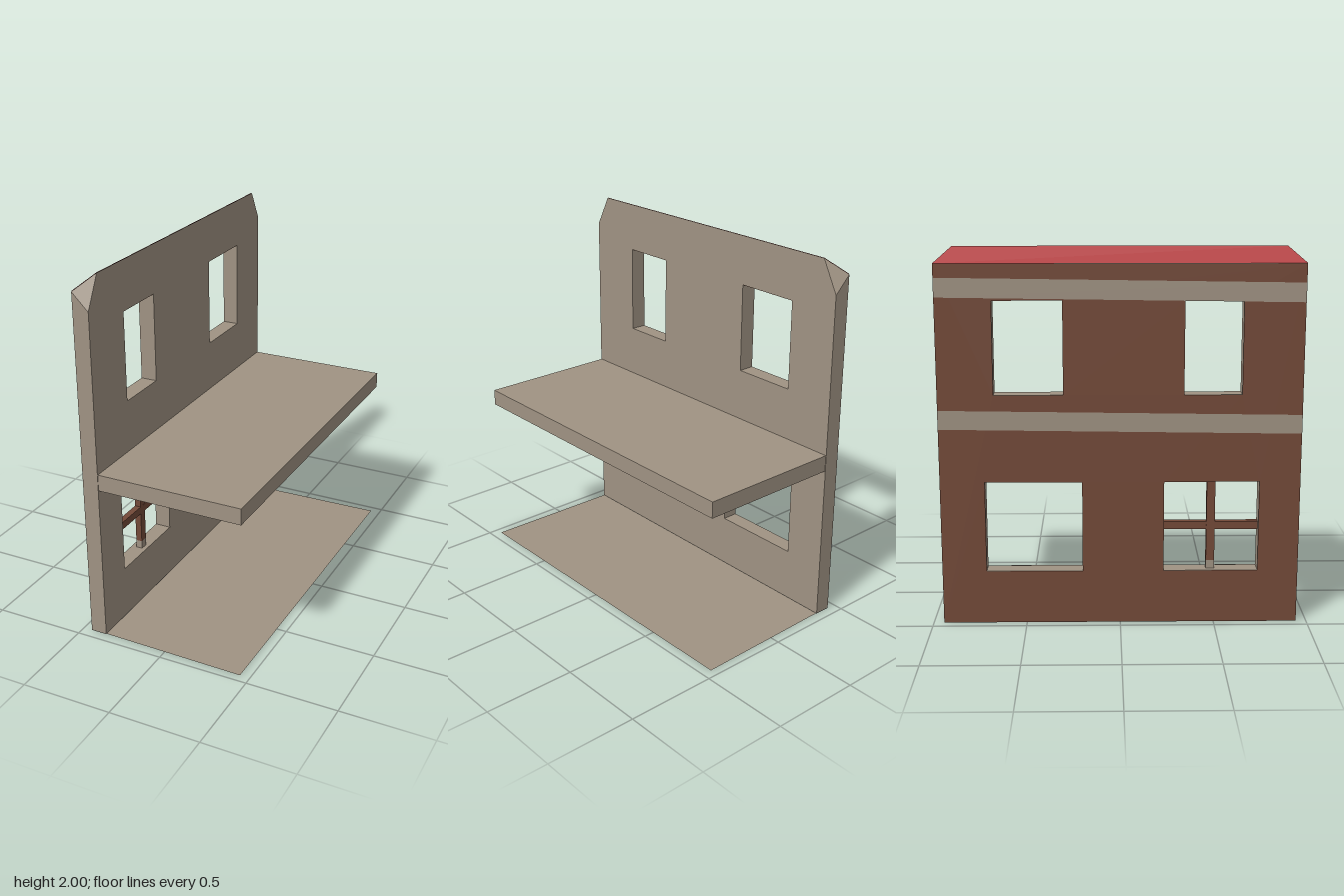
import * as THREE from 'three';

const INNER = -0.36, OUTER = -0.45, HALF = 0.945;

// Window openings: z from, z to, y from, y to
const UPPER = [[0.33, 0.63, 1.245, 1.735], [-0.655, -0.295, 1.245, 1.735]];
const LOWER = [[0.23, 0.73, 0.29, 0.78], [-0.71, -0.2, 0.29, 0.78]];

function mat(name, color, side = THREE.FrontSide) {
  const m = new THREE.MeshStandardMaterial({ color, side });
  m.name = name;
  return m;
}

// Shapes are drawn in (z, y)
function outline(points, windows = []) {
  const s = new THREE.Shape(points.map(p => new THREE.Vector2(...p)));
  for (const [a, b, c, d] of windows) {
    s.holes.push(new THREE.Path([[a, c], [a, d], [b, d], [b, c]].map(p => new THREE.Vector2(...p))));
  }
  return s;
}

export function createModel() {
  const group = new THREE.Group();
  const tan = mat('tan plaster', 0xa09383);
  const floorTan = mat('tan floor', 0xa09383, THREE.DoubleSide);
  const brown = mat('brown', 0x744a39);
  const red = mat('roof red', 0xb03437, THREE.DoubleSide);
  const dark = mat('dark base', 0x3c4446);

  const add = (name, geometry, material) => {
    const m = new THREE.Mesh(geometry, material);
    m.name = name;
    group.add(m);
    return m;
  };
  // Box given by its minimum and maximum corners
  const box = (name, x0, x1, y0, y1, z0, z1, material) =>
    add(name, new THREE.BoxGeometry(x1 - x0, y1 - y0, z1 - z0), material)
      .position.set((x0 + x1) / 2, (y0 + y1) / 2, (z0 + z1) / 2);

  // Wall, with a top that slopes to the outside and clipped corners
  const openings = [...UPPER, ...LOWER];
  const wall = new THREE.ExtrudeGeometry(
    outline([[-HALF, 0.002], [HALF, 0.002], [HALF, 1.83], [0.855, 2], [-0.855, 2], [-HALF, 1.83]], openings),
    { depth: INNER - OUTER, bevelEnabled: false });
  const p = wall.attributes.position;
  for (let i = 0; i < p.count; i++) {
    if (p.getZ(i) > 0.01 && p.getY(i) > 1.8) {
      p.setX(i, Math.sign(p.getX(i)) * HALF);
      p.setY(i, 1.92);
    }
  }
  wall.computeVertexNormals();
  wall.rotateY(-Math.PI / 2).translate(INNER, 0, 0);
  add('wall', wall, tan);
  box('wallBase', OUTER, INNER, 0, 0.002, -HALF, HALF, dark);

  // Painted outer face and its two bands
  const panel = (name, shape, offset, material) =>
    add(name, new THREE.ShapeGeometry(shape).rotateY(-Math.PI / 2).translate(OUTER - offset, 0, 0), material);
  panel('facade', outline([[-HALF, 0.002], [HALF, 0.002], [HALF, 1.92], [-HALF, 1.92]], openings), 0.002, brown);
  for (const [name, y] of [['lowerBand', 1.05], ['upperBand', 1.735]]) {
    panel(name, outline([[-HALF, y + 0.015], [HALF, y - 0.012], [HALF, y + 0.088], [-HALF, y + 0.115]]), 0.004, tan);
  }

  // Red sloping cap along the top of the wall
  const cap = new THREE.BufferGeometry();
  cap.setAttribute('position', new THREE.Float32BufferAttribute([
    OUTER, 1.92, -HALF, OUTER, 1.92, HALF, INNER, 2, 0.855, INNER, 2, -0.855], 3));
  cap.setIndex([0, 1, 2, 0, 2, 3]);
  cap.translate(-0.0015, 0.0015, 0);
  cap.computeVertexNormals();
  add('roofEdge', cap, red);

  // Brown undersides of the upper window heads
  for (const [a, b, , top] of UPPER) box('windowHead', OUTER, INNER, top - 0.002, top, a, b, brown);

  // Cross bars in one lower window
  box('verticalBar', -0.42, -0.385, 0.335, 0.78, 0.457, 0.502, brown);
  box('verticalBarFoot', -0.42, -0.385, 0.29, 0.335, 0.457, 0.502, tan);
  box('horizontalBar', -0.419, -0.384, 0.51, 0.552, 0.23, 0.73, brown);

  // Upper floor with a brown ceiling beneath
  box('upperFloor', INNER, 0.445, 0.87, 0.96, -0.942, 0.942, [tan, tan, tan, brown, tan, tan]);

  // Thin ground floor, slightly wider at its free edge
  const ground = new THREE.ShapeGeometry(outline([[INNER, -0.942], [0.445, -0.956], [0.445, 0.956], [INNER, 0.942]]));
  ground.rotateX(-Math.PI / 2).translate(0, 0.001, 0);
  add('groundFloor', ground, floorTan);

  return group;
}
